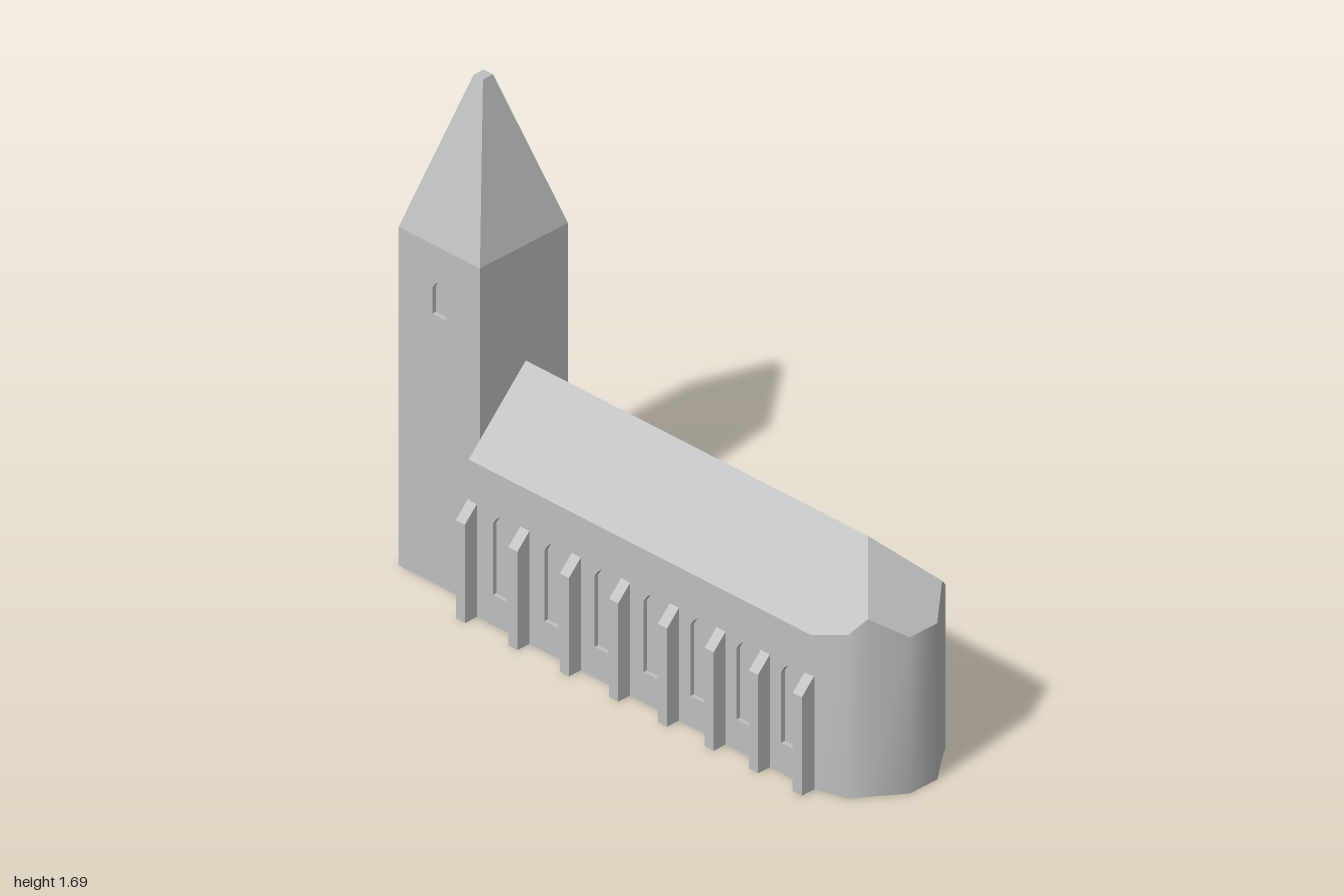
import * as THREE from 'three';

const stone = new THREE.MeshStandardMaterial({ color: 0xbfbfbf });
stone.name = 'grey stone';

const RECESS = 0.015; // depth of window and door niches
const RIDGE_Y = 0.77, RIDGE_Z = -0.02, HIP_X = 0.77, NAVE_X = -0.66;

function add(parent, name, geometry, x = 0, y = 0, z = 0) {
  const mesh = new THREE.Mesh(geometry, stone);
  mesh.name = name;
  mesh.position.set(x, y, z);
  parent.add(mesh);
  return mesh;
}

// Flat convex faces, each given as a loop of [x, y, z] corners
function flatFaces(loops) {
  const out = [];
  for (const p of loops)
    for (let i = 1; i < p.length - 1; i++) out.push(...p[0], ...p[i], ...p[i + 1]);
  const g = new THREE.BufferGeometry();
  g.setAttribute('position', new THREE.Float32BufferAttribute(out, 3));
  g.computeVertexNormals();
  return g;
}

// Wall slab (x0..x1, 0..h) pierced by pointed openings, with its outer face at z = 0
function piercedWall(x0, x1, h, openings) {
  const wall = new THREE.Shape([[x0, 0], [x1, 0], [x1, h], [x0, h]].map(p => new THREE.Vector2(...p)));
  for (const { x, y, w, shoulder, top } of openings) {
    const a = x - w / 2, b = x + w / 2, m = w * 0.27;
    const pts = [[a, y], [a, shoulder], [x - m, (shoulder + top) / 2 + 0.003], [x, top],
      [x + m, (shoulder + top) / 2 + 0.003], [b, shoulder], [b, y]];
    wall.holes.push(new THREE.Path(pts.map(p => new THREE.Vector2(...p))));
  }
  return new THREE.ExtrudeGeometry(wall, { depth: RECESS, bevelEnabled: false }).translate(0, 0, -RECESS);
}

function buildTower() {
  const tower = new THREE.Group();
  tower.name = 'tower';
  const w = 0.34, d = 0.37, h = 1.17;
  tower.position.set(-0.83, 0, -0.0125);
  const belfry = { x: 0, y: 0.93, w: 0.058, shoulder: 1.02, top: 1.05 };
  const door = { x: 0, y: 0.004, w: 0.07, shoulder: 0.12, top: 0.155 };

  add(tower, 'towerCore', new THREE.BoxGeometry(w - RECESS, h, d - 2 * RECESS), RECESS / 2, h / 2, 0);
  add(tower, 'towerFrontWall', piercedWall(-w / 2, w / 2, h, [belfry]), 0, 0, d / 2);
  add(tower, 'towerBackWall', piercedWall(-w / 2, w / 2, h, [belfry]), 0, 0, -d / 2).rotation.y = Math.PI;
  const e = d / 2 - RECESS;
  add(tower, 'towerDoorWall', piercedWall(-e, e, h, [door]), -w / 2, 0, 0).rotation.y = -Math.PI / 2;

  // Truncated four-sided spire
  const s = Math.SQRT1_2;
  const spire = new THREE.CylinderGeometry(0.115 * s, s, 0.52, 4).rotateY(Math.PI / 4)
    .scale(w, 1, d).toNonIndexed();
  spire.computeVertexNormals();
  add(tower, 'spire', spire, 0, h + 0.26, 0);
  return tower;
}

function buildNave() {
  const nave = new THREE.Group();
  nave.name = 'nave';
  const roofY = (x, z) => RIDGE_Y - Math.max(Math.abs(z - RIDGE_Z), x - HIP_X, 0);

  // Footprint from the front west corner, round the apse, to the back west corner
  const ring = [[NAVE_X, 0.22], [HIP_X, 0.22], [0.89, 0.185], [0.925, 0.136], [1, 0.035],
    [1, -0.08], [0.925, -0.176], [0.89, -0.225], [HIP_X, -0.265], [NAVE_X, -0.27]];
  const low = ring.map(([x, z]) => [x, 0, z]);
  const high = ring.map(([x, z]) => [x, roofY(x, z), z]);

  // Smooth wall around the apse; the first bay is left to the pierced front wall
  const index = [];
  for (let i = 0; i < ring.length - 1; i++) {
    const a = 2 * i;
    index.push(a, a + 2, a + 3, a, a + 3, a + 1);
  }
  const wall = new THREE.BufferGeometry();
  wall.setAttribute('position', new THREE.Float32BufferAttribute(low.flatMap((p, i) => [...p, ...high[i]]), 3));
  wall.setIndex(index);
  wall.computeVertexNormals();
  wall.setIndex(index.slice(6));
  add(nave, 'apseAndBackWall', wall);

  // Front wall with seven tall windows
  const windows = [-0.53, -0.315, -0.105, 0.1, 0.295, 0.487, 0.675]
    .map(x => ({ x, y: 0.105, w: 0.057, shoulder: 0.35, top: 0.385 }));
  const eave = roofY(0, 0.22);
  add(nave, 'frontWall', piercedWall(NAVE_X, HIP_X, eave, windows), 0, 0, 0.22);
  const length = HIP_X - NAVE_X;
  add(nave, 'windowBacks', new THREE.PlaneGeometry(length, eave),
    NAVE_X + length / 2, eave / 2, 0.22 - RECESS);

  // Roof slopes, hipped end, west gable and floor
  const west = [NAVE_X, RIDGE_Y, RIDGE_Z], east = [HIP_X, RIDGE_Y, RIDGE_Z];
  add(nave, 'roof', flatFaces([
    [west, ...high.slice(0, 4), east],
    [east, ...high.slice(3, 7)],
    [east, ...high.slice(6), west],
  ]));
  add(nave, 'gable', flatFaces([[low[9], low[0], high[0], west, high[9]]]));
  add(nave, 'floor', flatFaces([[...low].reverse()]));
  return nave;
}

function buildButtresses() {
  const group = new THREE.Group();
  group.name = 'buttresses';
  // Side profile with a sloping top, extruded along x
  const profile = new THREE.Shape([[0, 0], [0.055, 0], [0.055, 0.34], [0, 0.395]].map(p => new THREE.Vector2(...p)));
  const geometry = new THREE.ExtrudeGeometry(profile, { depth: 0.038, bevelEnabled: false })
    .translate(0, 0, -0.019).rotateY(-Math.PI / 2);
  for (const x of [-0.645, -0.425, -0.21, -0.004, 0.2, 0.395, 0.58, 0.763])
    add(group, 'buttress', geometry, x, 0, 0.215);
  return group;
}

export function createModel() {
  const model = new THREE.Group();
  model.name = 'church';
  model.add(buildTower(), buildNave(), buildButtresses());
  return model;
}
